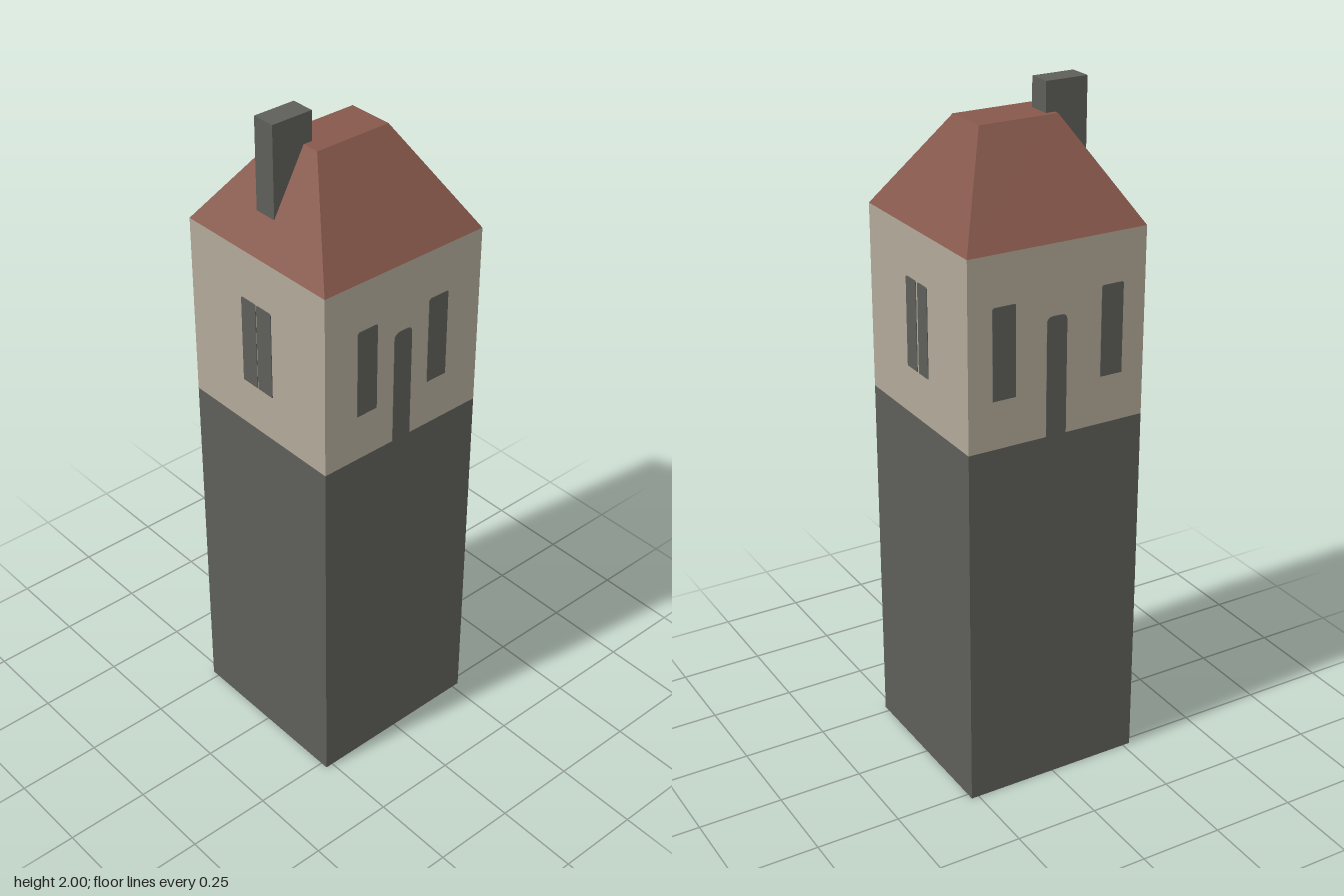
import * as THREE from 'three';

const stone = new THREE.MeshStandardMaterial({ name: 'darkStone', color: 0x5e5f59 });
const plaster = new THREE.MeshStandardMaterial({ name: 'creamPlaster', color: 0xb2aa99 });
const tile = new THREE.MeshStandardMaterial({ name: 'redTile', color: 0x87584b });

const HALF = 0.273, BASE_TOP = 1.095, WALL_TOP = 1.64, ROOF_TOP = 1.915;

// Box given by its lower and upper corners
function box(name, material, [x0, y0, z0], [x1, y1, z1]) {
  const geometry = new THREE.BoxGeometry(x1 - x0, y1 - y0, z1 - z0);
  geometry.translate((x0 + x1) / 2, (y0 + y1) / 2, (z0 + z1) / 2);
  const mesh = new THREE.Mesh(geometry, material);
  mesh.name = name;
  return mesh;
}

// Thin plate with rounded upper corners, lying on the wall plane
function plate(name, x0, x1, y0, y1, r) {
  const s = new THREE.Shape();
  s.moveTo(x0, y0);
  s.lineTo(x1, y0);
  s.lineTo(x1, y1 - r);
  s.quadraticCurveTo(x1, y1, x1 - r, y1);
  s.lineTo(x0 + r, y1);
  s.quadraticCurveTo(x0, y1, x0, y1 - r);
  s.closePath();
  const geometry = new THREE.ExtrudeGeometry(s, { depth: 0.004, bevelEnabled: false, curveSegments: 4 });
  geometry.translate(0, 0, HALF - 0.002);
  const mesh = new THREE.Mesh(geometry, stone);
  mesh.name = name;
  return mesh;
}

// Roof with four sloping sides and a small flat top
function roof() {
  const mesh = box('roof', tile, [-HALF, WALL_TOP, -HALF], [HALF, ROOF_TOP, HALF]);
  const p = mesh.geometry.attributes.position;
  for (let i = 0; i < p.count; i++) {
    if (p.getY(i) > WALL_TOP + 0.1) {
      p.setX(i, Math.sign(p.getX(i)) * 0.069);
      p.setZ(i, Math.sign(p.getZ(i)) * 0.12);
    }
  }
  mesh.geometry.computeVertexNormals();
  return mesh;
}

export function createModel() {
  const model = new THREE.Group();
  model.name = 'towerHouse';
  model.add(
    box('stoneBase', stone, [-HALF, 0, -HALF], [HALF, BASE_TOP, HALF]),
    box('plasterWalls', plaster, [-HALF, BASE_TOP, -HALF], [HALF, WALL_TOP, HALF]),
    roof(),
    box('chimney', stone, [-0.053, 1.735, 0.092], [0.017, 2, 0.22]),
  );

  // Openings of each wall: turn about y, window spans, door or not
  const walls = [
    ['front', 0, [[-0.06, -0.002], [0.002, 0.06]], false],
    ['back', Math.PI, [[-0.06, -0.005], [0.005, 0.057]], false],
    ['right', Math.PI / 2, [[-0.163, -0.095], [0.087, 0.155]], true],
    ['left', -Math.PI / 2, [[-0.2, -0.13], [0.135, 0.203]], true],
  ];
  for (const [side, angle, spans, hasDoor] of walls) {
    const group = new THREE.Group();
    group.name = side + 'Openings';
    group.rotation.y = angle;
    for (const [x0, x1] of spans) group.add(plate('window', x0, x1, 1.235, 1.497, 0.006));
    if (hasDoor) group.add(plate('door', -0.035, 0.027, BASE_TOP, 1.44, 0.018));
    model.add(group);
  }
  return model;
}
